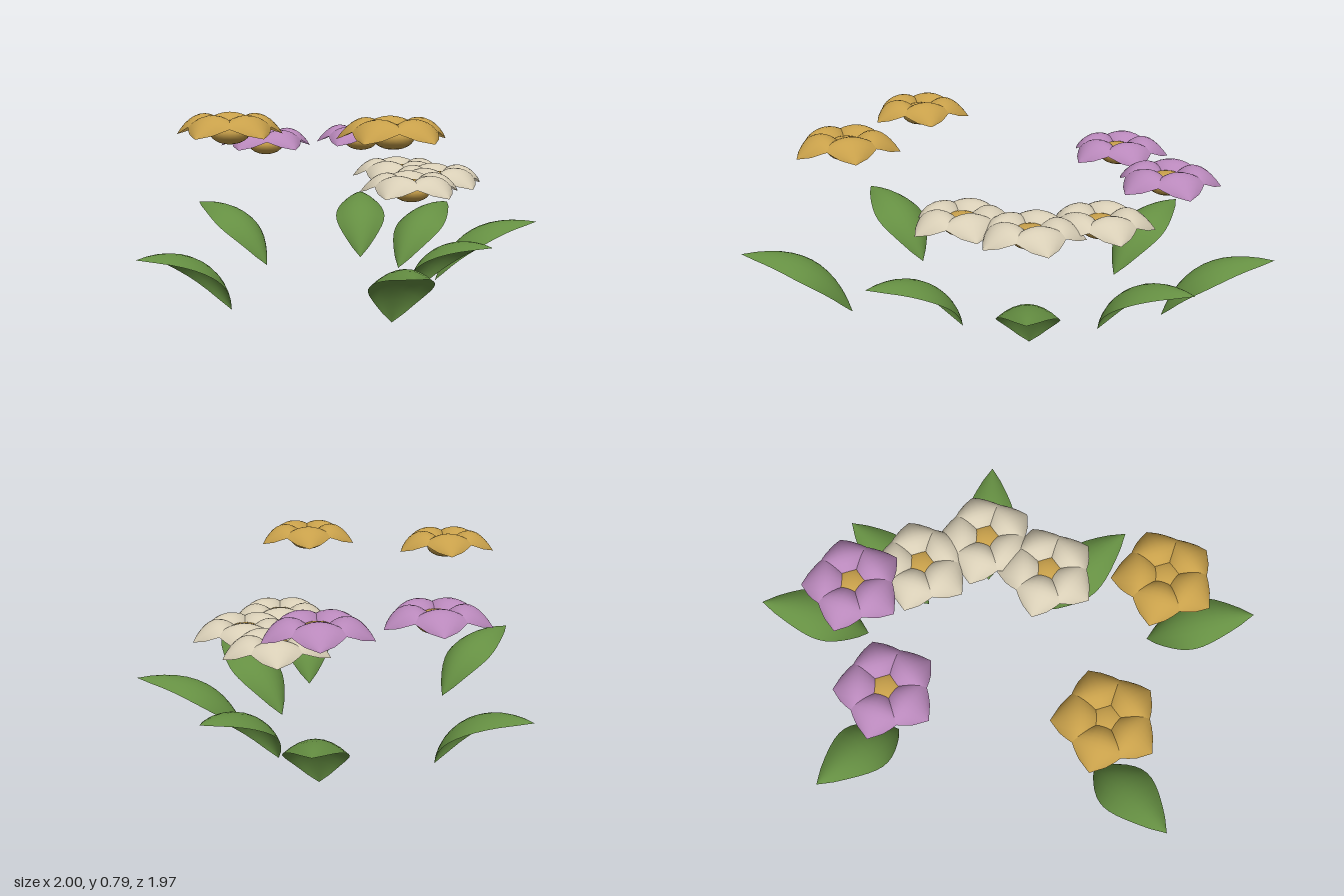
import * as THREE from 'three';

const mat = (name, color) => {
  const m = new THREE.MeshStandardMaterial({ color, side: THREE.DoubleSide });
  m.name = name;
  return m;
};

// Curved blade along +x: follows a quadratic arc, widens by a rule, edges sag below the midrib
function bladeGeometry(start, control, end, width, halfWidth, sag, nu = 12, nv = 8) {
  const arc = new THREE.QuadraticBezierCurve(
    new THREE.Vector2(...start), new THREE.Vector2(...control), new THREE.Vector2(...end));
  const pos = [], index = [];
  for (let i = 0; i <= nu; i++) {
    const t = i / nu, p = arc.getPoint(t), d = arc.getTangent(t);
    const w = halfWidth * width(t);
    for (let j = 0; j <= nv; j++) {
      const v = (j / nv) * 2 - 1;
      const drop = sag * w * v * v;
      pos.push(p.x + d.y * drop, p.y - d.x * drop, v * w);
      if (i < nu && j < nv) {
        const a = i * (nv + 1) + j, b = a + nv + 1;
        index.push(a, a + 1, b, b, a + 1, b + 1);
      }
    }
  }
  const g = new THREE.BufferGeometry();
  g.setAttribute('position', new THREE.Float32BufferAttribute(pos, 3));
  g.setIndex(index);
  g.computeVertexNormals();
  return g;
}

export function createModel() {
  const model = new THREE.Group();
  const purple = mat('lilac petal', 0xb988bb);
  const cream = mat('cream petal', 0xd8ceb6);
  const gold = mat('gold', 0xc8a04a);
  const green = mat('leaf green', 0x658f42);

  const sine = (t) => Math.max(0, Math.sin(Math.PI * t));
  const petalGeo = bladeGeometry([0, -0.013], [0.1, 0.157], [0.22, -0.013],
    (t) => sine(t ** 1.2) ** 0.6, 0.11, 0.38);
  const leafGeo = bladeGeometry([0, 0], [0.1, 0.32], [0.45, 0.262],
    (t) => sine(t) ** 0.8, 0.122, 0.46);
  const centreGeo = new THREE.SphereGeometry(0.08, 20, 12).scale(1, 0.6, 1);

  // Flower position, height, petal colour, and the tip of the leaf growing below it
  const plants = [
    [-0.42, -0.59, 0.578, purple, -0.76, -0.89],
    [-0.56, -0.12, 0.578, purple, -1.0, -0.04],
    [-0.11, -0.55, 0.443, cream, -0.22, -0.985],
    [0.19, -0.49, 0.443, cream, 0.47, -0.85],
    [0.32, -0.21, 0.443, cream, 0.77, -0.22],
    [0.62, 0.18, 0.713, gold, 1.0, 0.43],
    [0.06, 0.53, 0.713, gold, 0.08, 0.98],
  ];

  for (const [x, z, y, petalMat, tipX, tipZ] of plants) {
    // Flower: five petals around a flattened centre
    const flower = new THREE.Group();
    flower.name = 'flower';
    flower.position.set(x, y, z);
    for (let i = 0; i < 5; i++) {
      const petal = new THREE.Mesh(petalGeo, petalMat);
      petal.name = 'petal';
      petal.rotation.y = (i * Math.PI * 2) / 5;
      flower.add(petal);
    }
    const centre = new THREE.Mesh(centreGeo, gold);
    centre.name = 'flowerCentre';
    flower.add(centre);
    model.add(flower);

    // Leaf arching outwards from the ground
    const leaf = new THREE.Mesh(leafGeo, green);
    leaf.name = 'leaf';
    leaf.position.set(x, 0, z);
    leaf.rotation.y = -Math.atan2(tipZ - z, tipX - x);
    model.add(leaf);
  }
  return model;
}
